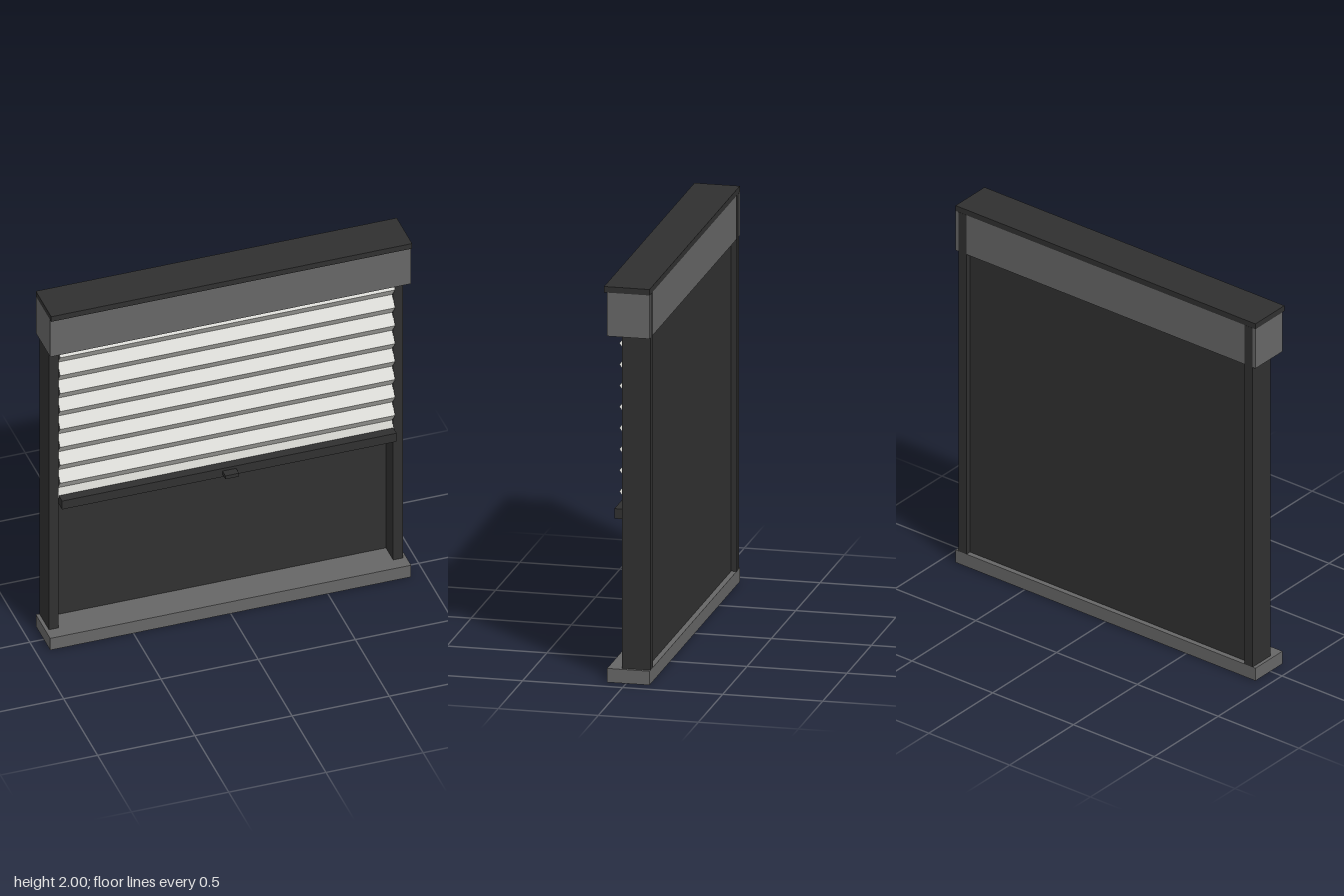
import * as THREE from 'three';

export function createModel() {
  const model = new THREE.Group();
  const mat = (name, color) => {
    const m = new THREE.MeshStandardMaterial({ color });
    m.name = name;
    return m;
  };
  const charcoal = mat('charcoal', 0x303030);
  const grey = mat('grey', 0x666666);
  const fabric = mat('fabric', 0xcecec9);
  fabric.side = THREE.DoubleSide;

  // Box given by its low and high limits on each axis
  const box = (name, material, [x0, x1], [y0, y1], [z0, z1]) => {
    const mesh = new THREE.Mesh(new THREE.BoxGeometry(x1 - x0, y1 - y0, z1 - z0), material);
    mesh.position.set((x0 + x1) / 2, (y0 + y1) / 2, (z0 + z1) / 2);
    mesh.name = name;
    model.add(mesh);
  };

  const back = -0.117;
  const half = 0.928;

  // Frame: sill, head box with cap, side rails and dark pane
  box('sill', grey, [-half, half], [0, 0.07], [back, 0.095]);
  box('headBox', grey, [-half, half], [1.75, 1.97], [back, 0.095]);
  box('headCap', charcoal, [-half, half], [1.97, 2], [back, 0.11]);
  box('leftRail', charcoal, [0.86, 0.91], [0.07, 1.97], [back - 0.001, 0.025]);
  box('rightRail', charcoal, [-0.91, -0.86], [0.07, 1.97], [back - 0.001, 0.025]);
  box('pane', charcoal, [-0.86, 0.86], [0.07, 1.75], [-0.09, -0.082]);

  // Pleated blind: a sheet folded between valleys and ridges
  const folds = 19, step = 0.0535, top = 1.859;
  const sheet = new THREE.PlaneGeometry(1.724, folds * step, 1, folds);
  const pos = sheet.attributes.position;
  for (let i = 0; i < pos.count; i++) {
    const row = Math.floor(i / 2);
    const ridge = row === folds ? 0.035 : 0.05;
    pos.setZ(i, row % 2 ? ridge : 0.01);
  }
  const pleats = sheet.toNonIndexed();
  pleats.computeVertexNormals();
  const blind = new THREE.Mesh(pleats, fabric);
  blind.position.y = top - folds * step / 2;
  blind.name = 'pleatedBlind';
  model.add(blind);

  // Bottom bar with its pull tab
  box('bottomBar', charcoal, [-0.86, 0.86], [0.81, 0.86], [0.025, 0.075]);
  box('pullTab', charcoal, [-0.035, 0.035], [0.825, 0.845], [0.075, 0.118]);

  return model;
}
